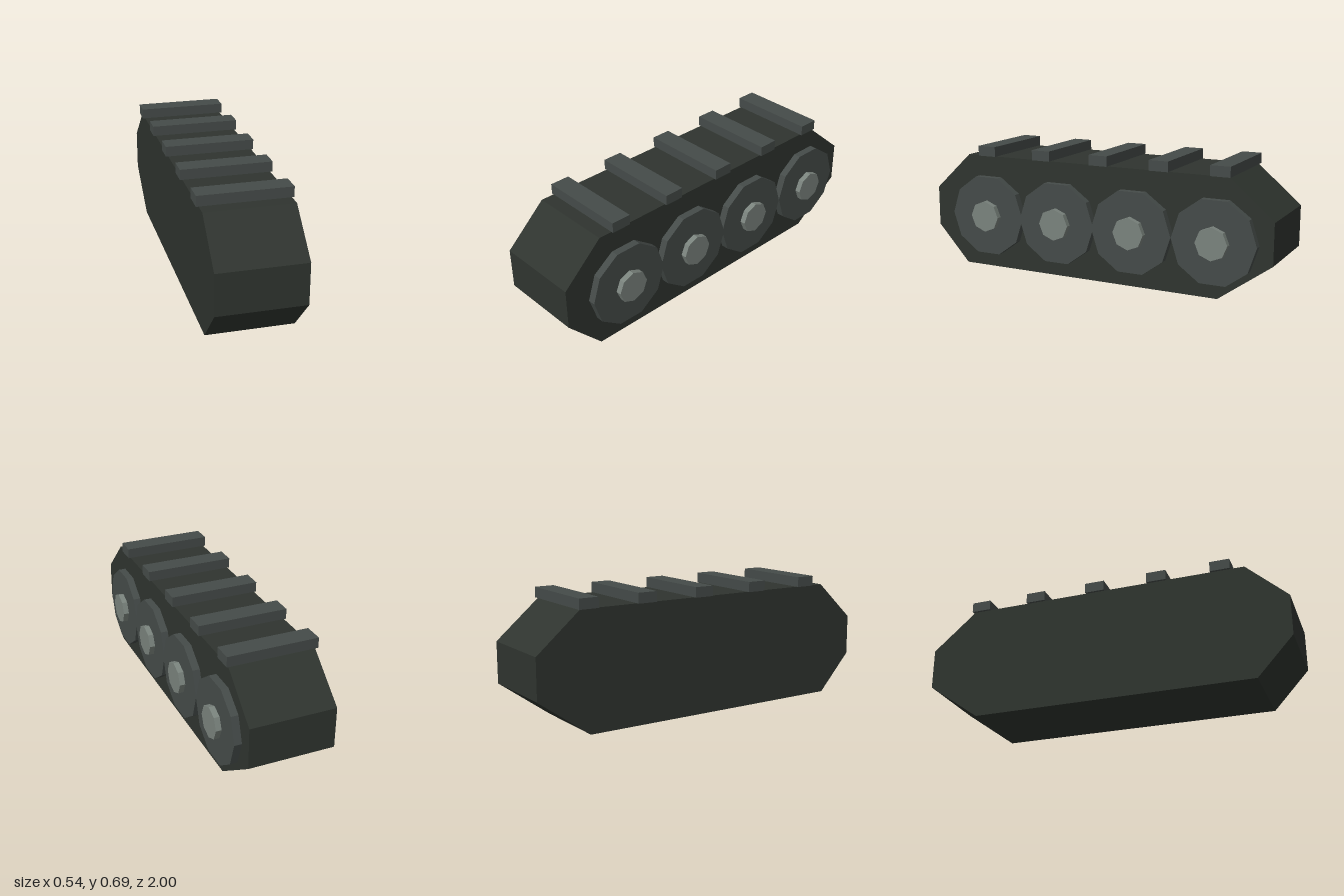
import * as THREE from 'three';

const material = (color) => new THREE.MeshStandardMaterial({ color, flatShading: true });

export function createModel() {
  const group = new THREE.Group();
  group.name = 'trackUnit';
  const dark = material(0x2f342f);
  const grey = material(0x454b49);
  const light = material(0x7a837d);

  const add = (name, geometry, mat, x, y, z) => {
    const mesh = new THREE.Mesh(geometry, mat);
    mesh.name = name;
    mesh.position.set(x, y, z);
    group.add(mesh);
  };

  // Track body: eight-sided side profile (z, y), extruded across the width
  const profile = [
    [0.81, 0], [1, 0.206], [1, 0.426], [0.78, 0.631],
    [-0.76, 0.631], [-1, 0.426], [-1, 0.206], [-0.715, 0],
  ].map(([z, y]) => new THREE.Vector2(z, y));
  const body = new THREE.ExtrudeGeometry(new THREE.Shape(profile), { depth: 0.457, bevelEnabled: false });
  body.rotateY(-Math.PI / 2);
  add('trackBody', body, dark, 0.2, 0, 0);

  // Road wheels with hubs on the outer side
  const wheel = new THREE.CylinderGeometry(0.228, 0.228, 0.06, 10).rotateZ(-Math.PI / 2);
  const hub = new THREE.CylinderGeometry(0.0865, 0.0865, 0.05, 8).rotateZ(-Math.PI / 2);
  [0.64, 0.2, -0.243, -0.7].forEach((z, i) => {
    add(`wheel${i + 1}`, wheel, grey, 0.21, 0.3, z);
    add(`hub${i + 1}`, hub, light, 0.245, 0.3, z);
  });

  // Cleats across the top run
  const cleat = new THREE.BoxGeometry(0.482, 0.055, 0.107);
  [0.653, 0.307, -0.04, -0.387, -0.719].forEach((z, i) => {
    add(`cleat${i + 1}`, cleat, grey, -0.029, 0.658, z);
  });

  return group;
}
